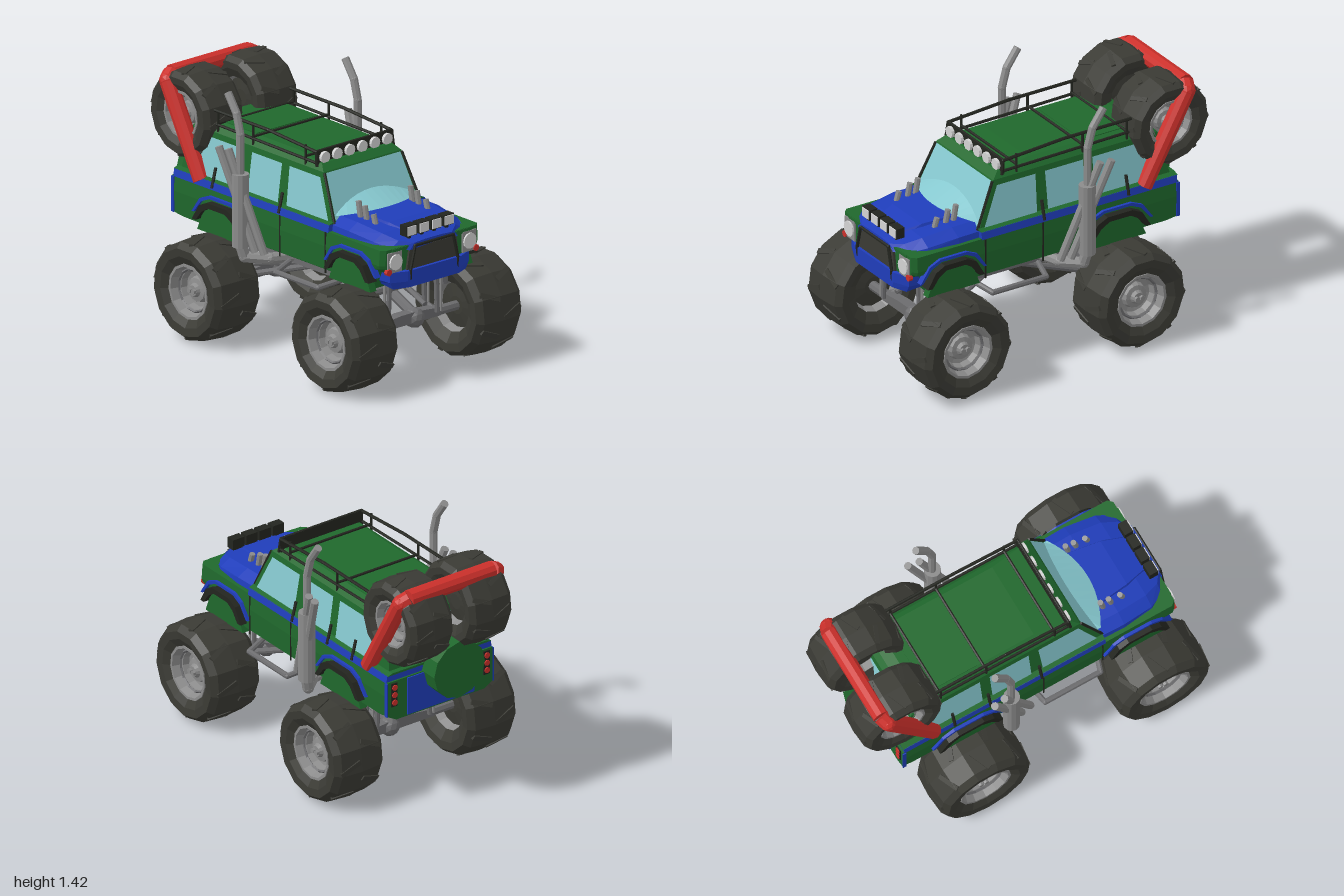
import * as THREE from 'three';

const paint = (color, side = THREE.FrontSide) => new THREE.MeshStandardMaterial({ color, side });

export function createModel() {
  const model = new THREE.Group();
  const green = paint(0x1f682c), blue = paint(0x1f3dba), red = paint(0xcc302b), glass = paint(0x86c8cf, THREE.DoubleSide);
  const rubber = paint(0x3a3a34), rimGrey = paint(0x8c8c8c), steel = paint(0x6c6c6e), black = paint(0x23251f);
  const lamp = paint(0xd4d4d4);
  Object.entries({ green, blue, red, glass, rubber, rimGrey, steel, black, lamp }).forEach(([n, m]) => { m.name = n; });

  // Helpers: every mesh gets faceted normals
  const add = (name, geo, mat, parent = model) => {
    const g = geo.index ? geo.toNonIndexed() : geo;
    g.computeVertexNormals();
    const mesh = new THREE.Mesh(g, mat);
    mesh.name = name;
    parent.add(mesh);
    return mesh;
  };
  const box = (name, mat, size, pos, parent) => {
    const m = add(name, new THREE.BoxGeometry(...size), mat, parent);
    m.position.set(...pos);
    return m;
  };
  const rod = (name, mat, a, b, r, sides = 8) => {
    const p = new THREE.Vector3(...a), d = new THREE.Vector3(...b).sub(p);
    const m = add(name, new THREE.CylinderGeometry(r, r, d.length(), sides), mat);
    m.position.copy(p).addScaledVector(d, 0.5);
    m.quaternion.setFromUnitVectors(new THREE.Vector3(0, 1, 0), d.normalize());
    return m;
  };
  // Bent pipe: straight runs with a faceted ball at each bend
  const pipe = (name, mat, pts, r, sides = 8) => {
    for (let i = 0; i + 1 < pts.length; i++) {
      rod(name, mat, pts[i], pts[i + 1], r, sides);
      if (i) add(name + 'Bend', new THREE.IcosahedronGeometry(r * 1.02, 1), mat).position.set(...pts[i]);
    }
  };
  // Skin over equal rings of points, closed at both ends
  const loft = (name, mat, rings) => {
    const n = rings[0].length, idx = [], last = (rings.length - 1) * n;
    for (let i = 0; i + 1 < rings.length; i++) for (let j = 0; j < n; j++) {
      const a = i * n + j, b = i * n + (j + 1) % n;
      idx.push(a, b, a + n, b, b + n, a + n);
    }
    for (let j = 1; j + 1 < n; j++) idx.push(0, j + 1, j, last, last + j, last + j + 1);
    const g = new THREE.BufferGeometry();
    g.setAttribute('position', new THREE.Float32BufferAttribute(rings.flat(2), 3));
    g.setIndex(idx);
    return add(name, g, mat);
  };
  // Ring across the car at x, from [z, y] points of the left half listed upward
  const across = (x, half) => [...half.map(([z, y]) => [x, y, -z]), ...half.slice().reverse().map(([z, y]) => [x, y, z])];
  const panel = (name, mat, pts) => {
    const tri = [];
    for (let i = 1; i + 1 < pts.length; i++) tri.push(pts[0], pts[i], pts[i + 1]);
    const g = new THREE.BufferGeometry();
    g.setAttribute('position', new THREE.Float32BufferAttribute(tri.flat(), 3));
    return add(name, g, mat);
  };
  const prism = (name, mat, pts, z0, depth) => {
    const shape = new THREE.Shape(pts.map(p => new THREE.Vector2(...p)));
    const m = add(name, new THREE.ExtrudeGeometry(shape, { depth, bevelEnabled: false }), mat);
    m.position.z = z0;
    return m;
  };
  const lathe = (pts, n) => new THREE.LatheGeometry(pts.map(p => new THREE.Vector2(...p)), n).rotateX(Math.PI / 2);

  // Wheels: balloon tyre, slanted lugs, deep stepped rim
  const wheel = (name, x, y, z, s, scale = 1) => {
    const w = new THREE.Group();
    w.name = name;
    add('tyre', lathe([[0.14, -0.12], [0.2, -0.155], [0.245, -0.16], [0.275, -0.125], [0.284, 0], [0.275, 0.125],
      [0.245, 0.16], [0.2, 0.155], [0.14, 0.12]], 13), rubber, w);
    add('rim', lathe([[0.12, -0.06], [0.145, -0.12], [0.155, -0.12], [0.155, 0.135], [0.14, 0.135],
      [0.125, 0.09], [0.11, 0.085], [0.1, 0.05], [0.075, 0.045], [0.065, 0.075], [0.04, 0.08], [0.03, 0.1], [0.001, 0.1]], 13), rimGrey, w);
    add('rimBack', lathe([[0.001, -0.085], [0.05, -0.085], [0.14, -0.07]], 12), rubber, w);
    const ring = add('rimRing', new THREE.TorusGeometry(0.118, 0.008, 4, 13), steel, w);
    ring.position.z = 0.092;
    for (const k of [-1, 1]) {
      const nut = add('hubNut', new THREE.CylinderGeometry(0.015, 0.015, 0.02, 6).rotateX(Math.PI / 2), rimGrey, w);
      nut.position.set(k * 0.016, 0, 0.105);
      for (let i = 0; i < 8; i++) {
        const turn = new THREE.Group();
        turn.name = 'lugMount';
        turn.rotation.z = (i + (k > 0 ? 0 : 0.5)) / 8 * Math.PI * 2;
        box('lug', rubber, [0.028, 0.02, 0.13], [0, 0.268, k * 0.07], turn).rotation.set(k * 0.07, k * 0.4, 0);
        w.add(turn);
      }
    }
    w.position.set(x, y, z);
    w.scale.setScalar(scale);
    if (s < 0) w.rotation.y = Math.PI;
    model.add(w);
  };

  // Lower body, belt with green ledge, cabin and hood
  const lower = (x, b, k = 1) => across(x, [[0.29, b], [0.345, b + 0.03], [0.352, 0.71], [0.345, 0.795]].map(([z, y]) => [z * k, y]));
  loft('lowerBody', green, [lower(-0.78, 0.56), lower(-0.7, 0.55), lower(0.79, 0.55), lower(0.83, 0.65), lower(0.88, 0.66), lower(0.905, 0.66, 0.93)]);
  loft('belt', blue, [-0.77, 0.47].map(x => across(x, [[0.349, 0.79], [0.342, 0.832]])));
  loft('beltLedge', green, [-0.775, 0.47].map(x => across(x, [[0.343, 0.831], [0.31, 0.843]])));
  const level = (y, x0, x1, z) => [[x0, y, z], [x1, y, z], [x1, y, -z], [x0, y, -z]];
  loft('cabin', green, [level(0.82, -0.75, 0.47, 0.315), level(1.085, -0.69, 0.352, 0.277),
    level(1.118, -0.66, 0.31, 0.25), level(1.132, -0.6, 0.1, 0.22)]);
  loft('hood', blue, [[0.44, 0.32, 0.868], [0.6, 0.325, 0.868], [0.78, 0.305, 0.848], [0.87, 0.26, 0.822], [0.92, 0.17, 0.808]]
    .map(([x, z, t]) => across(x, [[z, 0.788], [z * 0.98, t - 0.04], [z * 0.78, t - 0.005], [z * 0.35, t]])));
  loft('hoodBulge', blue, [[0.5, 0.17, 0.882], [0.72, 0.14, 0.868], [0.86, 0.1, 0.835]]
    .map(([x, z, t]) => across(x, [[z + 0.03, 0.8], [z, t]])));
  box('roofPanelRear', green, [0.3, 0.012, 0.44], [-0.4, 1.13, 0]);

  // Glass: windscreen, curved cowl glass, rear and side windows
  const screenX = y => 0.475 - (y - 0.82) * 0.445;
  panel('windscreen', glass, [[0.845, 0.29], [1.08, 0.264], [1.08, -0.264], [0.845, -0.29]].map(([y, z]) => [screenX(y), y, z]));
  panel('rearWindow', glass, [[0.88, 0.27], [1.05, 0.24], [1.05, -0.24], [0.88, -0.27]].map(([y, z]) => [-0.755 + (y - 0.82) * 0.24, y, z]));
  const cowl = new THREE.PlaneGeometry(2, 1, 12, 1), cp = cowl.attributes.position;
  for (let i = 0; i < cp.count; i++) {
    const t = cp.getX(i), arc = 1 - t * t, top = cp.getY(i) > 0, y = 0.872 + (top ? 0.08 * arc : 0.012 * arc);
    cp.setXYZ(i, top ? screenX(y) + 0.005 : 0.475 + 0.085 * arc, y, -t * 0.285);
  }
  add('cowlGlass', cowl, glass);

  for (const s of [1, -1]) {
    const sideZ = y => s * (0.319 - (y - 0.82) * 0.143);
    const windows = [[-0.64, -0.62, -0.27, -0.27], [-0.21, -0.21, 0.03, 0.03], [0.1, 0.09, 0.335, 0.435]];
    for (const [a, b, c, d] of windows)
      panel('sideWindow', glass, [[a, 0.838], [b, 1.055], [c, 1.055], [d, 0.838]].map(([x, y]) => [x, y, sideZ(y)]));
    for (const x of [-0.46, -0.24, 0.075]) rod('doorStrap', black, [x, 0.8, s * 0.35], [x, 0.91, s * 0.322], 0.009, 6);
    for (const x of [0.085, 0.45]) box('doorSeam', black, [0.007, 0.23, 0.006], [x, 0.675, s * 0.35]);
    rod('windscreenPillar', black, [0.472, 0.83, s * 0.305], [0.358, 1.08, s * 0.275], 0.008, 6);
    box('rearCornerStrip', blue, [0.02, 0.2, 0.008], [-0.772, 0.69, s * 0.35]);

    // Wheel arches: green flare, black lip, thin blue line above
    for (const [cx, r] of [[-0.38, 0.2], [0.66, 0.185]]) {
      const arch = (w, y0, top) => [[cx - w, y0], [cx - w * 0.72, top - 0.03], [cx - w * 0.4, top], [cx + w * 0.4, top], [cx + w * 0.72, top - 0.03], [cx + w, y0]];
      const band = (name, mat, w, y0, top, t, out) => prism(name, mat, [...arch(w, y0, top), ...arch(w - t, y0, top - t).reverse()], s > 0 ? 0.33 : -0.33 - out, out);
      prism('archFlare', green, arch(r - 0.02, 0.55, 0.7), s > 0 ? 0.32 : -0.365, 0.045);
      band('archLip', black, r - 0.005, 0.61, 0.728, 0.03, 0.06);
      band('archLine', blue, r + 0.025, 0.64, 0.758, 0.016, 0.036);
    }

    // Wheels and roof-mounted spares
    wheel('rearWheel', -0.4, 0.283, s * 0.44, s);
    wheel('frontWheel', 0.705, 0.283, s * 0.44, s);
    wheel('spareWheel', -0.755, 1.13, s * 0.194, s, 0.87);

    // Exhaust stack with muffler, tall pipe and two side pipes
    const z = s * 0.418;
    rod('muffler', rimGrey, [-0.152, 0.57, z], [-0.152, 0.98, z], 0.046, 12);
    pipe('stackPipe', rimGrey, [[-0.155, 0.97, z], [-0.155, 1.2, z], [-0.185, 1.31, z], [-0.255, 1.41, z]], 0.022);
    pipe('exhaustElbow', rimGrey, [[-0.152, 0.58, z], [-0.14, 0.51, s * 0.4], [-0.05, 0.5, s * 0.3], [-0.02, 0.49, s * 0.15]], 0.032);
    rod('sidePipe', rimGrey, [-0.07, 0.55, s * 0.385], [-0.28, 1.11, s * 0.46], 0.022);
    rod('sidePipe', rimGrey, [-0.01, 0.55, s * 0.375], [-0.215, 1.11, s * 0.45], 0.022);

    // Hood pipes, headlamps, indicators, tail lamps
    [[0.53, 0.95], [0.58, 0.935], [0.65, 0.905]].forEach(([x, y]) => rod('hoodPipe', rimGrey, [x + 0.02, 0.84, s * 0.185], [x, y, s * 0.185], 0.016));
    box('headlampSurround', rimGrey, [0.01, 0.115, 0.1], [0.907, 0.72, s * 0.265]);
    rod('headlamp', lamp, [0.9, 0.722, s * 0.263], [0.922, 0.722, s * 0.263], 0.044, 12);
    rod('indicator', red, [0.895, 0.672, s * 0.31], [0.918, 0.672, s * 0.31], 0.019);
    for (const y of [0.67, 0.715, 0.76]) rod('tailLamp', red, [-0.775, y, s * 0.305], [-0.792, y, s * 0.305], 0.017);
    box('tailLampPlate', black, [0.008, 0.14, 0.04], [-0.781, 0.715, s * 0.305]);

    // Red hoop legs
    pipe('hoopLeg', red, [[-0.575, 0.81, s * 0.318], [-0.852, 1.3, s * 0.313], [-0.87, 1.325, s * 0.27]], 0.048, 10);

    // Roof rack side
    pipe('rackRail', black, [[-0.6, 1.205, s * 0.268], [-0.1, 1.205, s * 0.268], [0.285, 1.18, s * 0.268], [0.295, 1.1, s * 0.272]], 0.009, 6);
    rod('rackBase', black, [-0.6, 1.13, s * 0.268], [0.29, 1.118, s * 0.268], 0.008, 6);
    for (const x of [-0.5, -0.22, 0.2]) rod('rackPost', black, [x, 1.09, s * 0.268], [x, 1.2, s * 0.268], 0.007, 6);

    // Chassis rail, step bar, suspension links and shocks
    box('chassisRail', steel, [1.1, 0.05, 0.05], [0.12, 0.485, s * 0.15]);
    pipe('stepBar', steel, [[0.05, 0.5, s * 0.25], [0.08, 0.475, s * 0.375], [0.42, 0.475, s * 0.375], [0.46, 0.5, s * 0.25]], 0.016);
    for (const [ax, inner] of [[-0.4, 0.12], [0.705, 0.3]]) {
      rod('lowerLink', steel, [ax, 0.29, s * 0.2], [inner, 0.47, s * 0.14], 0.017);
      rod('upperLink', steel, [ax, 0.34, s * 0.13], [inner, 0.49, s * 0.15], 0.014);
      for (const dx of [-0.05, 0.05]) {
        rod('shock', steel, [ax + dx, 0.3, s * 0.175], [ax + dx, 0.56, s * 0.165], 0.014);
        rod('shockSleeve', rimGrey, [ax + dx, 0.3, s * 0.2], [ax + dx, 0.56, s * 0.2], 0.008, 6);
      }
      pipe('swayBar', steel, [[ax, 0.49, 0], [ax, 0.49, s * 0.26], [ax, 0.43, s * 0.265]], 0.024);
    }
  }

  // Axles, differentials and drive shafts
  for (const [ax, inner] of [[-0.4, 0], [0.705, 0.32]]) {
    rod('axle', steel, [ax, 0.283, -0.36], [ax, 0.283, 0.36], 0.028);
    loft('axleTruss', steel, [-0.03, 0.03].map(d => across(ax + d, [[0.22, 0.265], [0.22, 0.31], [0.06, 0.325]])));
    add('differential', new THREE.IcosahedronGeometry(0.058, 1), steel).position.set(ax, 0.283, -0.055);
    rod('driveShaft', steel, [ax, 0.3, -0.055], [inner, 0.47, -0.055], 0.03);
  }
  box('gearbox', steel, [0.3, 0.06, 0.16], [0.17, 0.49, 0]);
  for (const x of [-0.15, 0.1, 0.43]) box('chassisCrossmember', steel, [0.05, 0.045, 0.34], [x, 0.485, 0]);
  box('underside', black, [1.42, 0.01, 0.5], [0.05, 0.55, 0]);

  // Front: grille in green frame, bumper, bull bar and hood lamps
  loft('bumper', blue, [[0.78, 0.29, 0.575], [0.89, 0.28, 0.56], [0.93, 0.19, 0.565]].map(([x, z, b]) => across(x, [[z * 0.92, b], [z, 0.6], [z, 0.657]])));
  loft('grille', rubber, [0.89, 0.918].map(x => across(x, [[0.185, 0.66], [0.165, 0.775]])));
  box('grilleHeader', green, [0.03, 0.022, 0.56], [0.895, 0.782, 0]);
  pipe('bullBar', black, [[0.92, 0.58, 0.165], [0.927, 0.66, 0.168], [0.927, 0.79, 0.135], [0.927, 0.79, -0.135], [0.927, 0.66, -0.168], [0.92, 0.58, -0.165]], 0.009, 6);
  for (const z of [-0.132, -0.044, 0.044, 0.132]) {
    box('hoodLampHousing', black, [0.05, 0.06, 0.074], [0.87, 0.865, z]);
    box('hoodLampLens', lamp, [0.008, 0.05, 0.062], [0.897, 0.865, z]);
    box('hoodLampFoot', black, [0.02, 0.05, 0.02], [0.87, 0.82, z]);
  }

  // Roof lamps and rack crossbars
  box('roofLampBoard', black, [0.015, 0.085, 0.54], [0.285, 1.145, 0]);
  for (const k of [-2.5, -1.5, -0.5, 0.5, 1.5, 2.5]) rod('roofLamp', lamp, [0.285, 1.145, k * 0.089], [0.31, 1.145, k * 0.089], 0.032, 12);
  for (const x of [-0.5, -0.22, 0.2, 0.285]) rod('rackCrossbar', black, [x, 1.136, -0.268], [x, 1.136, 0.268], 0.008, 6);
  rod('rackFrontBar', black, [0.285, 1.18, -0.268], [0.285, 1.18, 0.268], 0.009, 6);

  // Rear: hoop top, blue tailgate and spare cover
  rod('hoopTop', red, [-0.87, 1.325, -0.275], [-0.87, 1.325, 0.275], 0.048, 10);
  box('tailgate', blue, [0.012, 0.22, 0.44], [-0.782, 0.68, 0]);
  rod('spareCover', green, [-0.77, 0.795, 0.055], [-0.88, 0.795, 0.055], 0.168, 12);
  return model;
}
